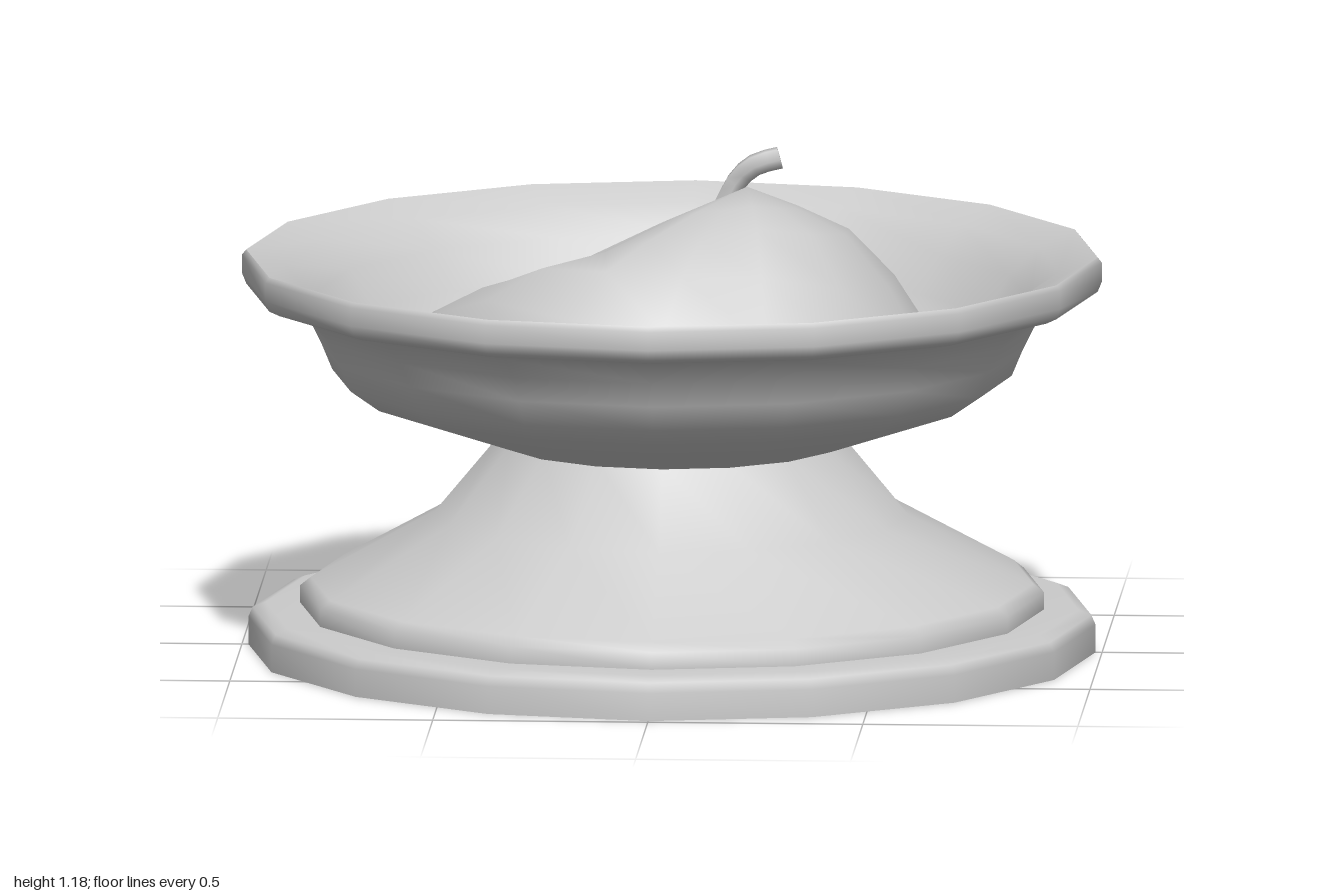
import * as THREE from 'three';

const SIDES = 16;
const material = new THREE.MeshStandardMaterial({ color: 0xcccccc });

function part(name, geometry) {
  const mesh = new THREE.Mesh(geometry, material);
  mesh.name = name;
  return mesh;
}

// Revolves [radius, height] pairs, listed bottom to top on outer faces
function turned(name, profile) {
  return part(name, new THREE.LatheGeometry(profile.map(p => new THREE.Vector2(...p)), SIDES));
}

// Lump inside the dish: rings running from its off-centre peak to an uneven outline
function moundGeometry() {
  const peak = new THREE.Vector3(0.18, 1.105, 0.09);
  // per direction, from front towards the left: outline radius, middle height, shoulder height
  const spokes = [
    [0.645, 1.03, 0.85], [0.67, 1.05, 0.82], [0.71, 1.03, 0.77], [0.7, 1.01, 0.74],
    [0.65, 1.0, 0.74], [0.65, 0.98, 0.72], [0.635, 0.99, 0.72], [0.645, 1.0, 0.72],
    [0.63, 0.97, 0.72], [0.61, 0.93, 0.71], [0.635, 0.9, 0.72], [0.65, 0.9, 0.73],
    [0.68, 0.9, 0.76], [0.67, 0.92, 0.82], [0.65, 0.98, 0.89], [0.65, 1.02, 0.87],
  ];
  const steps = [0.25, 0.5, 0.72, 0.92, 1];
  const positions = [peak.x, peak.y, peak.z];
  const index = [];
  steps.forEach((t, ring) => {
    spokes.forEach(([r, mid, shoulder], i) => {
      const a = (i / SIDES) * Math.PI * 2;
      const heights = [(peak.y + mid) / 2 + 0.005, mid, (mid + shoulder) / 2 + 0.02, shoulder, 0.64];
      positions.push(
        THREE.MathUtils.lerp(peak.x, r * Math.sin(a), t),
        heights[ring],
        THREE.MathUtils.lerp(peak.z, r * Math.cos(a), t));
      const next = (i + 1) % SIDES;
      const here = 1 + ring * SIDES;
      if (ring === 0) index.push(0, here + i, here + next);
      else {
        const above = here - SIDES;
        index.push(above + i, here + i, here + next, above + i, here + next, above + next);
      }
    });
  });
  const geometry = new THREE.BufferGeometry();
  geometry.setAttribute('position', new THREE.Float32BufferAttribute(positions, 3));
  geometry.setIndex(index);
  geometry.computeVertexNormals();
  return geometry;
}

export function createModel() {
  const model = new THREE.Group();
  model.name = 'pedestalDish';

  // Foot: flat underside, rounded plinth and flared stem
  model.add(turned('footUnderside', [[0, 0], [0.985, 0]]));
  model.add(turned('footPlinth', [
    [0.985, 0], [0.985, 0.065], [0.975, 0.088], [0.945, 0.1], [0.85, 0.1]]));
  model.add(turned('flaredStem', [
    [0.865, 0.1], [0.865, 0.14], [0.84, 0.16], [0.55, 0.32], [0.4, 0.5]]));

  // Dish: outside wall, rounded rim and hollow inside
  model.add(turned('dishOutside', [
    [0.38, 0.49], [0.4, 0.49], [0.72, 0.6], [0.79, 0.65], [0.815, 0.71],
    [0.845, 0.77], [0.89, 0.82], [0.93, 0.835]]));
  model.add(turned('dishRim', [
    [0.92, 0.835], [0.965, 0.838], [0.99, 0.85], [1, 0.875], [1, 0.918], [0.99, 0.93]]));
  model.add(turned('dishInside', [
    [0.99, 0.93], [0.9, 0.895], [0.83, 0.83], [0.77, 0.745], [0.71, 0.68],
    [0.6, 0.635], [0.4, 0.6], [0, 0.59]]));

  // Filling
  model.add(part('mound', moundGeometry()));

  // Bent stub at the top of the mound
  const path = new THREE.CatmullRomCurve3([
    new THREE.Vector3(0.12, 1.04, -0.03), new THREE.Vector3(0.155, 1.105, -0.025),
    new THREE.Vector3(0.195, 1.14, -0.015), new THREE.Vector3(0.25, 1.155, -0.02)]);
  const wick = new THREE.Group();
  wick.name = 'wick';
  wick.add(part('wickStem', new THREE.TubeGeometry(path, 6, 0.027, 6)));
  const tip = part('wickTip', new THREE.CircleGeometry(0.027, 6));
  tip.position.copy(path.getPoint(1));
  tip.lookAt(path.getPoint(1).add(path.getTangent(1)));
  wick.add(tip);
  model.add(wick);

  return model;
}
